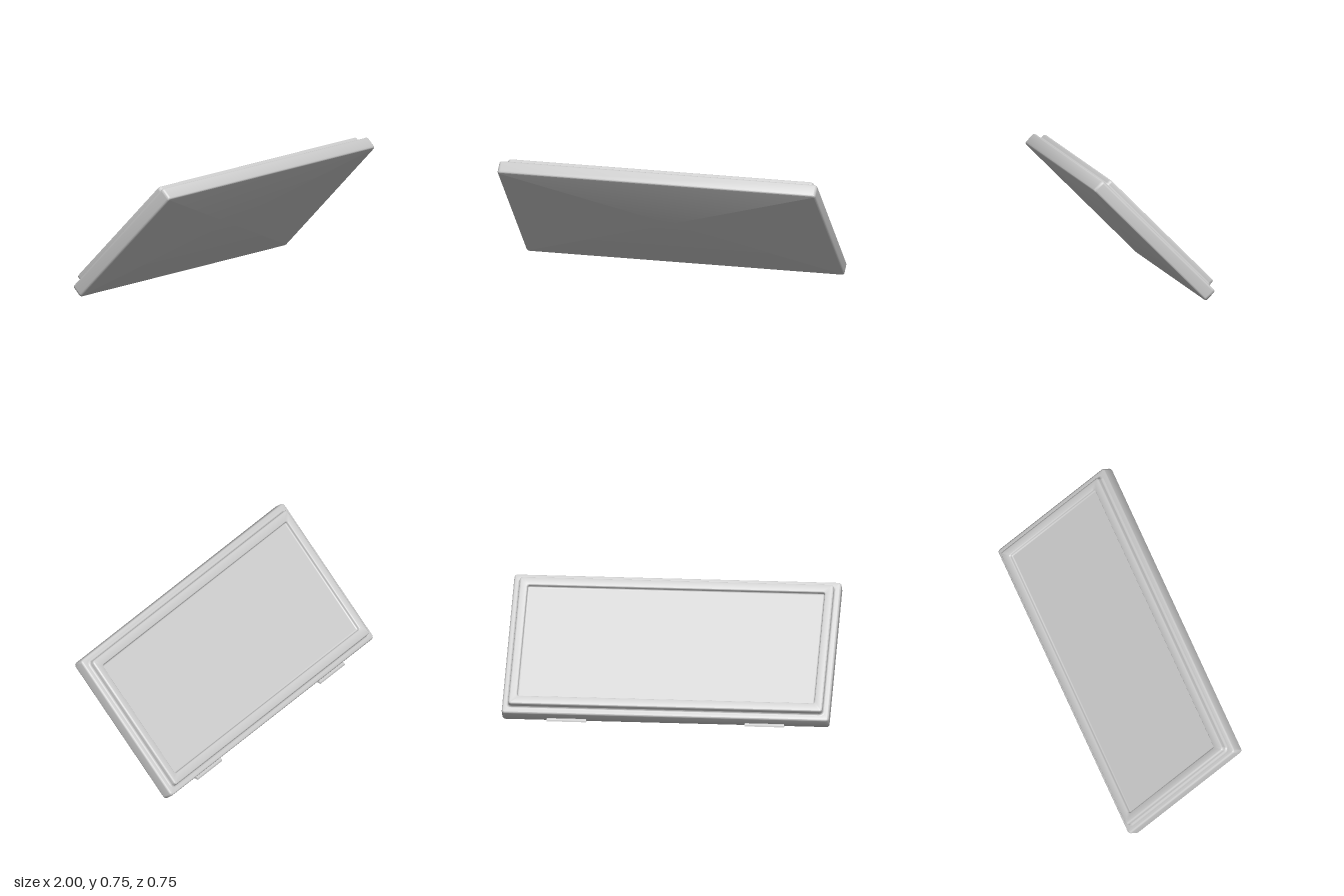
import * as THREE from 'three';
import { toCreasedNormals } from 'three/addons/utils/BufferGeometryUtils.js';

const CORNER_STEPS = 6;

// Quarter arc of the edge profile: d is the inset from the outline, n the height
function arc(outline, cd, cn, r, from, to) {
  const rings = [];
  for (let i = 0; i <= 6; i++) {
    const a = THREE.MathUtils.degToRad(from + (to - from) * i / 6);
    rings.push({ ...outline, d: cd + r * Math.cos(a), n: cn + r * Math.sin(a) });
  }
  return rings;
}

// One rounded rectangle, counted from +x towards +z
function ringPoints({ hx, hz, r, d, n }) {
  const rad = r - d, x = hx - d - rad, z = hz - d - rad;
  const points = [];
  [[1, 1], [-1, 1], [-1, -1], [1, -1]].forEach(([sx, sz], q) => {
    for (let i = 0; i <= CORNER_STEPS; i++) {
      const a = (q + i / CORNER_STEPS) * Math.PI / 2;
      points.push([sx * x + rad * Math.cos(a), n, sz * z + rad * Math.sin(a)]);
    }
  });
  return points;
}

// Joins the rings from the bottom up, with optional flat caps
function loft(rings, { bottom = false, top = false } = {}) {
  const loops = rings.map(ringPoints);
  const count = loops[0].length;
  const positions = loops.flat(2);
  const index = [];
  for (let i = 0; i < loops.length - 1; i++) {
    for (let j = 0; j < count; j++) {
      const k = (j + 1) % count;
      const a = i * count + j, b = i * count + k, c = a + count, e = b + count;
      index.push(a, c, b, b, c, e);
    }
  }
  const cap = (row, up) => {
    const centre = positions.length / 3;
    positions.push(0, rings[row].n, 0);
    for (let j = 0; j < count; j++) {
      const a = row * count + j, b = row * count + (j + 1) % count;
      index.push(centre, up ? b : a, up ? a : b);
    }
  };
  if (bottom) cap(0, false);
  if (top) cap(rings.length - 1, true);
  const geometry = new THREE.BufferGeometry();
  geometry.setAttribute('position', new THREE.Float32BufferAttribute(positions, 3));
  geometry.setIndex(index);
  return toCreasedNormals(geometry, 0.5);
}

export function createModel() {
  const model = new THREE.Group();
  const grey = new THREE.MeshStandardMaterial({ color: 0xcccccc });
  grey.name = 'light grey';

  const add = (parent, name, geometry) => {
    const mesh = new THREE.Mesh(geometry, grey);
    mesh.name = name;
    parent.add(mesh);
    return mesh;
  };

  // The tilted panel is built flat, then leaned by 45 degrees
  const panel = new THREE.Group();
  panel.name = 'tiltedPanel';
  panel.rotation.x = -Math.PI / 4;
  const flat = new THREE.Group();
  flat.name = 'panelLayers';
  flat.position.z = 0.265;
  panel.add(flat);
  model.add(panel);

  const slab = { hx: 1, hz: 0.497, r: 0.02 };
  const rim = { hx: 0.96, hz: 0.455, r: 0.02 };
  const recess = { hx: 0.908, hz: 0.396, r: 0.012 };

  // Base slab with rounded edges, up to the foot of the rim
  const rimStart = { ...rim, d: -0.013, n: 0.308 };
  add(flat, 'baseSlab', loft([
    ...arc(slab, 0.015, 0.238, 0.015, 270, 180),
    ...arc(slab, 0.015, 0.293, 0.015, 180, 90),
    rimStart,
  ], { bottom: true }));

  // Raised rim: cove, rounded outer edge, rounded inner edge and inner cove
  add(flat, 'raisedRim', loft([
    ...arc(rim, -0.013, 0.321, 0.013, 270, 360),
    ...arc(rim, 0.012, 0.335, 0.012, 180, 90),
    ...arc(recess, -0.01, 0.337, 0.01, 90, 0),
    ...arc(recess, 0.01, 0.335, 0.01, 180, 270),
  ]));

  // Sunken face inside the rim
  add(flat, 'sunkenFace', loft([{ ...recess, d: 0.01, n: 0.325 }], { top: true }));

  // Two small feet behind the lower edge
  const profile = new THREE.Shape();
  profile.moveTo(0.318, 0);
  profile.lineTo(0.365, 0);
  profile.lineTo(0.365, 0.005);
  profile.quadraticCurveTo(0.363, 0.016, 0.352, 0.016);
  profile.lineTo(0.325, 0.016);
  profile.closePath();
  for (const [name, x] of [['leftFoot', 0.605], ['rightFoot', -0.605]]) {
    const geometry = new THREE.ExtrudeGeometry(profile, { depth: 0.24, bevelEnabled: false, curveSegments: 6 });
    geometry.translate(0, 0, -0.12);
    geometry.rotateY(Math.PI / 2);
    add(model, name, toCreasedNormals(geometry, 0.5)).position.x = x;
  }

  return model;
}
